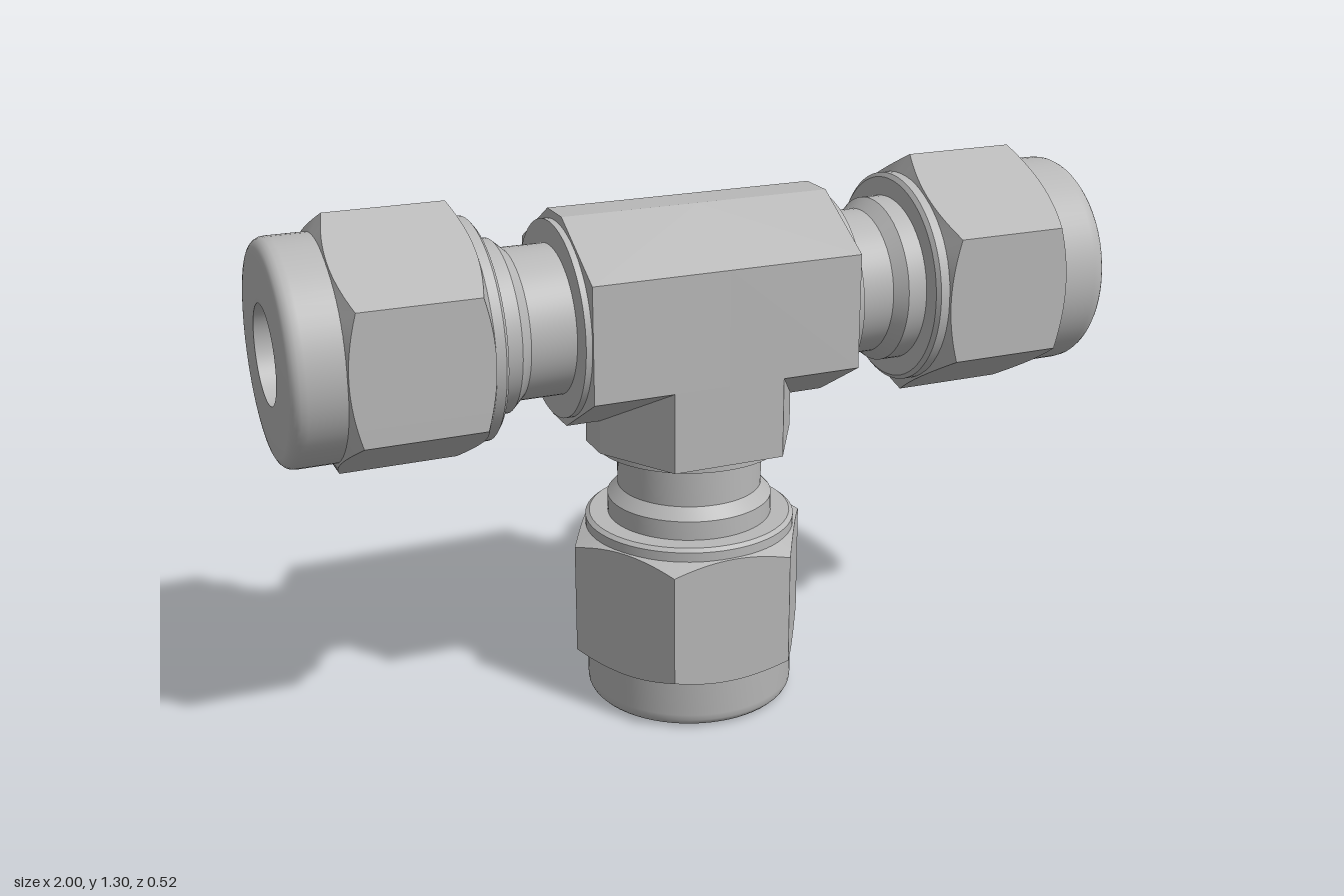
import * as THREE from 'three';
import { toCreasedNormals } from 'three/addons/utils/BufferGeometryUtils.js';

const steel = new THREE.MeshStandardMaterial({ color: 0xb8b8b8 });
steel.name = 'steel grey';

// Body: half depth, half height, corner positions and half length
const A = 0.235, B = 0.248, C = 0.137, D = 0.047, L = 0.33;

function mesh(name, geometry) {
  const m = new THREE.Mesh(geometry, steel);
  m.name = name;
  return m;
}

// Collar, neck, ferrule ring, round nut end and stepped bore, turned about y
function turnedGeometry(boreStart) {
  const profile = [
    [0.23, 0.32], [0.23, 0.345], [0.175, 0.345], [0.175, 0.452],
    [0.2, 0.48], [0.2, 0.527], [0.245, 0.527], [0.255, 0.535], [0.255, 0.965],
  ];
  // Rounded outer rim
  for (let i = 1; i <= 5; i++) {
    const a = (i / 5) * Math.PI / 2;
    profile.push([0.225 + 0.03 * Math.cos(a), 0.97 + 0.03 * Math.sin(a)]);
  }
  profile.push([0.113, 1], [0.113, 0.6], [0.09, 0.6], [0.09, boreStart]);
  const lathe = new THREE.LatheGeometry(profile.map(p => new THREE.Vector2(...p)), 64);
  return toCreasedNormals(lathe, 0.5);
}

// Six-sided nut whose corners are cut back by a shallow cone at both ends
function hexGeometry() {
  const N = 96, t0 = 0.556, t1 = 0.882, positions = [], index = [];
  for (let i = 0; i <= N; i++) {
    const a = (i / N) * Math.PI * 2;
    const sector = Math.PI / 3;
    const fromFlat = (a % sector) - sector / 2;
    const r = 0.26 / Math.cos(fromFlat);
    const cut = (r - 0.255) * 0.577;
    for (const [radius, t] of [[0.25, t0], [r, t0 + cut], [r, t1 - cut], [0.25, t1]]) {
      positions.push(radius * Math.cos(a), t, radius * Math.sin(a));
    }
  }
  for (let i = 0; i < N; i++) {
    for (let j = 0; j < 3; j++) {
      const p = i * 4 + j, q = p + 4;
      index.push(p, p + 1, q, p + 1, q + 1, q);
    }
  }
  const g = new THREE.BufferGeometry();
  g.setAttribute('position', new THREE.Float32BufferAttribute(positions, 3));
  g.setIndex(index);
  return toCreasedNormals(g, 0.3);
}

// Faceted tee body: one quarter of the faces, mirrored in x and z
function bodyGeometry() {
  const quads = [
    [[0, B, 0], [L, B, 0], [L, B, D], [0, B, D]],
    [[0, B, D], [L, B, D], [L, C, A], [0, C, A]],
    [[0, C, A], [L, C, A], [L, -C, A], [0, -C, A]],
    [[0, -C, A], [C, -C, A], [C, -L, A], [0, -L, A]],
    [[C, -C, A], [L, -C, A], [L, -B, D], [B, -B, D]],
    [[B, -B, D], [L, -B, D], [L, -B, 0], [B, -B, 0]],
    [[C, -C, A], [B, -B, D], [B, -L, D], [C, -L, A]],
    [[B, -B, D], [B, -B, 0], [B, -L, 0], [B, -L, D]],
  ];
  const positions = [];
  for (const sx of [1, -1]) {
    for (const sz of [1, -1]) {
      const order = sx * sz > 0 ? [0, 2, 1, 0, 3, 2] : [0, 1, 2, 0, 2, 3];
      for (const quad of quads) {
        for (const k of order) {
          const [x, y, z] = quad[k];
          positions.push(x * sx, y, z * sz);
        }
      }
    }
  }
  const g = new THREE.BufferGeometry();
  g.setAttribute('position', new THREE.Float32BufferAttribute(positions, 3));
  g.computeVertexNormals();
  return g;
}

// Eight-sided end face of the body, open in the middle for the collar
function endFaceGeometry() {
  const corners = [[B, D], [C, A], [-C, A], [-B, D], [-B, -D], [-C, -A], [C, -A], [B, -D]];
  const shape = new THREE.Shape(corners.map(p => new THREE.Vector2(...p)));
  shape.holes.push(new THREE.Path().absarc(0, 0, 0.2, 0, Math.PI * 2, true));
  const g = new THREE.ShapeGeometry(shape, 32);
  g.rotateX(-Math.PI / 2);
  g.translate(0, L, 0);
  return g;
}

export function createModel() {
  const model = new THREE.Group();
  model.name = 'teeFitting';
  const fitting = new THREE.Group();
  fitting.name = 'fitting';
  fitting.position.y = 1;
  model.add(fitting);
  fitting.add(mesh('teeBody', bodyGeometry()));

  // Three equal arms: left, right and downward
  const hex = hexGeometry(), endFace = endFaceGeometry();
  const arms = [['leftArm', -Math.PI / 2, 0], ['rightArm', Math.PI / 2, 0], ['lowerArm', Math.PI, 0.08]];
  for (const [name, angle, boreStart] of arms) {
    const arm = new THREE.Group();
    arm.name = name;
    arm.rotation.z = angle;
    arm.add(
      mesh('bodyEndFace', endFace),
      mesh('turnedNeckAndBore', turnedGeometry(boreStart)),
      mesh('hexNut', hex),
    );
    fitting.add(arm);
  }
  return model;
}
